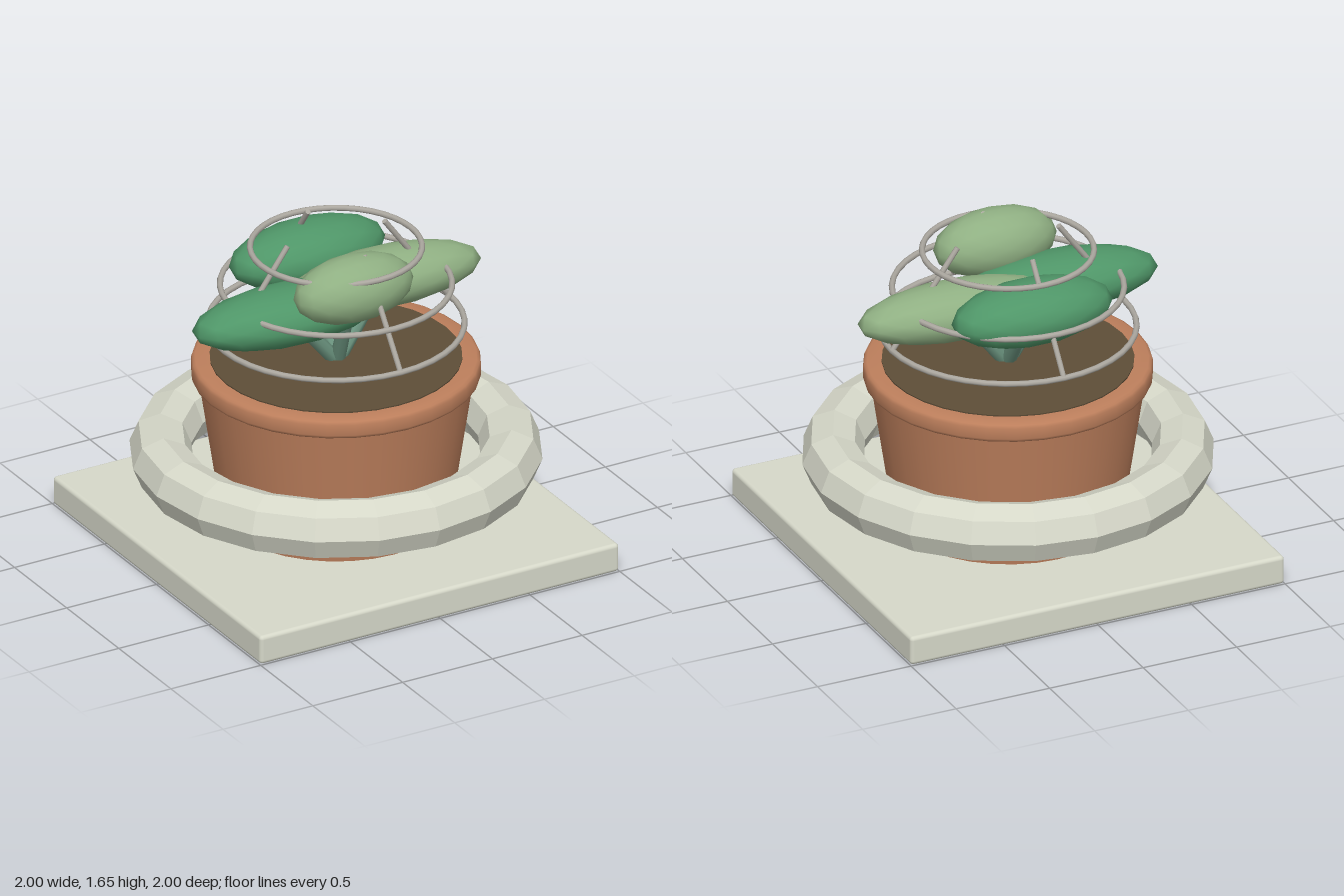
import * as THREE from 'three';
import { toCreasedNormals } from 'three/addons/utils/BufferGeometryUtils.js';
import { RoundedBoxGeometry } from 'three/addons/geometries/RoundedBoxGeometry.js';

const material = (name, color) => {
  const m = new THREE.MeshStandardMaterial({ color });
  m.name = name;
  return m;
};

export function createModel() {
  const stone = material('pale stone', 0xd6d8c9);
  const clay = material('terracotta', 0xbd7f5c);
  const earth = material('soil brown', 0x5e4e38);
  const darkGreen = material('dark leaf green', 0x4f9668);
  const lightGreen = material('light leaf green', 0x90b083);
  const stemGreen = material('stem green', 0x6c9580);
  const wire = material('wire grey', 0xaca8a0);

  const model = new THREE.Group();
  model.name = 'pottedPlant';

  const add = (name, geometry, mat, x = 0, y = 0, z = 0, parent = model) => {
    const mesh = new THREE.Mesh(geometry, mat);
    mesh.name = name;
    mesh.position.set(x, y, z);
    parent.add(mesh);
    return mesh;
  };

  // Straight round bar between two points
  const bar = (name, a, b, rBottom, rTop, mat, parent) => {
    const dir = b.clone().sub(a);
    const mid = a.clone().add(b).multiplyScalar(0.5);
    const mesh = add(name, new THREE.CylinderGeometry(rTop, rBottom, dir.length(), 8),
      mat, mid.x, mid.y, mid.z, parent);
    mesh.quaternion.setFromUnitVectors(new THREE.Vector3(0, 1, 0), dir.normalize());
  };

  // Square plinth
  add('plinth', new RoundedBoxGeometry(2, 0.15, 2, 3, 0.02), stone, 0, 0.075, 0);

  // Faceted ring around the pot
  const ring = new THREE.TorusGeometry(0.85, 0.15, 8, 20).rotateX(Math.PI / 2);
  add('collarRing', toCreasedNormals(ring, 0.01), stone, 0, 0.475, 0);

  // Tapered pot with a rounded rim
  add('potBody', new THREE.CylinderGeometry(0.668, 0.555, 0.75, 32), clay, 0, 0.525, 0);
  const rimProfile = [
    [0.62, 0.88], [0.685, 0.88], [0.696, 0.888], [0.7, 0.9], [0.7, 0.955],
    [0.694, 0.971], [0.68, 0.978], [0.61, 0.978], [0.6, 0.9],
  ].map(([r, y]) => new THREE.Vector2(r, y));
  add('potRim', toCreasedNormals(new THREE.LatheGeometry(rimProfile, 32), 0.8), clay);
  add('soil', new THREE.CylinderGeometry(0.61, 0.6, 0.06, 32), earth, 0, 0.954, 0);

  // Leaves: centre, half sizes, yaw, colour; each on its own stem
  const leaves = [
    ['leftLeaf', [-0.3, 1.31, 0.06], [0.51, 0.145, 0.205], -0.06, darkGreen],
    ['rightLeaf', [0.29, 1.325, -0.03], [0.51, 0.145, 0.185], -0.06, lightGreen],
    ['frontLeaf', [-0.06, 1.48, 0.27], [0.32, 0.168, 0.175], 0, lightGreen],
    ['backLeaf', [0.03, 1.395, -0.33], [0.42, 0.157, 0.207], 0, darkGreen],
  ];
  const plant = new THREE.Group();
  plant.name = 'plant';
  model.add(plant);
  for (const [name, centre, size, yaw, mat] of leaves) {
    const leaf = add(name, new THREE.IcosahedronGeometry(1, 2), mat, ...centre, plant);
    leaf.scale.set(...size);
    leaf.rotation.y = yaw;
    bar(name + 'Stem', new THREE.Vector3(0, 0.96, 0.01), new THREE.Vector3(...centre),
      0.038, 0.03, stemGreen, plant);
  }

  // Wire cage: three hoops and four leaning struts
  const cage = new THREE.Group();
  cage.name = 'wireCage';
  model.add(cage);
  for (const [radius, y] of [[0.62, 1.16], [0.56, 1.37], [0.415, 1.57]]) {
    const hoop = new THREE.TorusGeometry(radius, 0.015, 8, 40).rotateX(Math.PI / 2);
    add('hoop', hoop, wire, 0, y, 0, cage);
  }
  for (let i = 0; i < 4; i++) {
    const c = Math.cos(i * Math.PI / 2);
    const s = Math.sin(i * Math.PI / 2);
    bar('strut', new THREE.Vector3(0.62 * c, 1.16, 0.62 * s),
      new THREE.Vector3(0.27 * c, 1.64, 0.27 * s), 0.014, 0.014, wire, cage);
  }

  return model;
}
